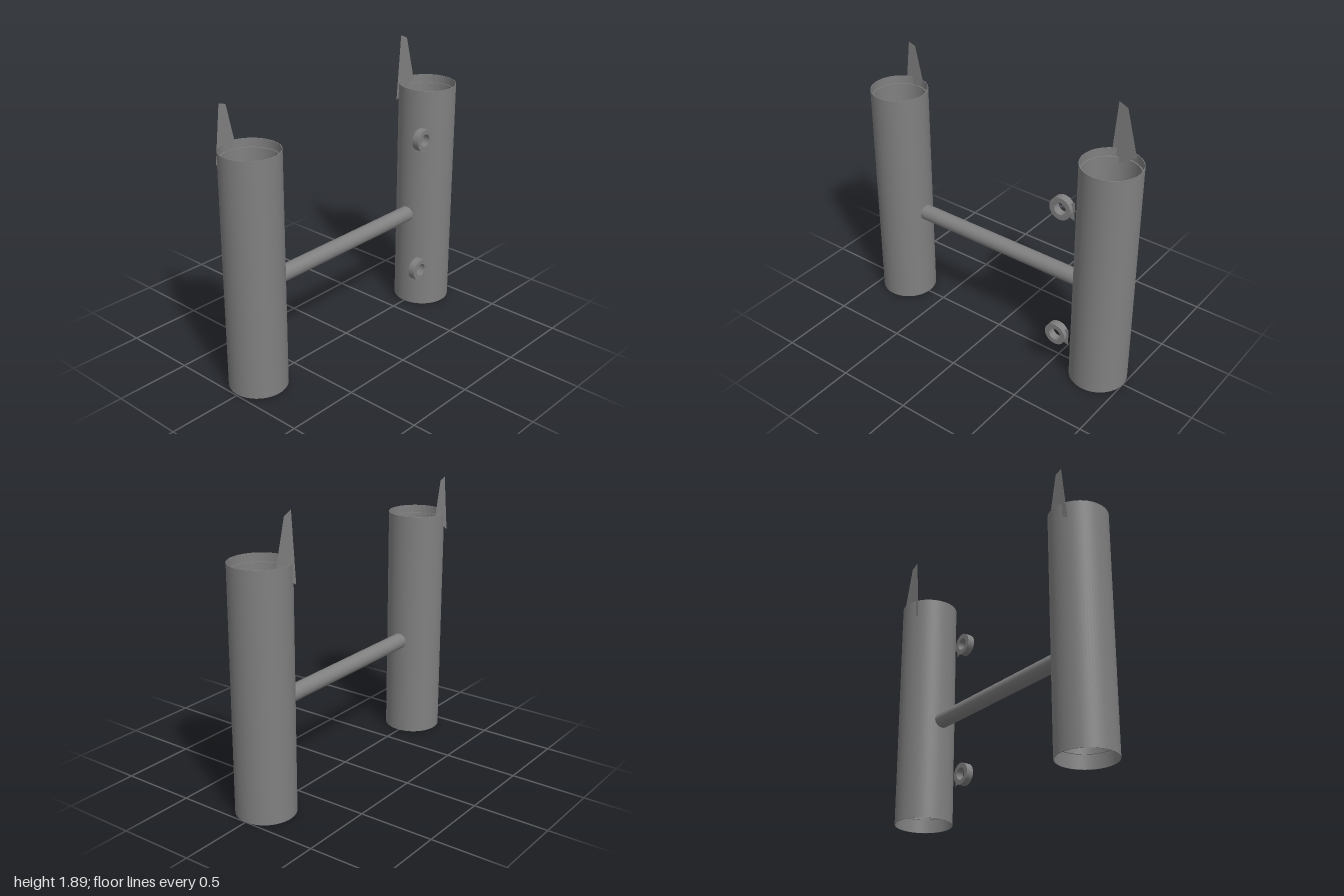
import * as THREE from 'three';

export function createModel() {
  const model = new THREE.Group();
  const steel = new THREE.MeshStandardMaterial({ color: 0x808080, side: THREE.DoubleSide });
  steel.name = 'grey steel';

  const add = (name, geometry, x = 0, y = 0, z = 0) => {
    const mesh = new THREE.Mesh(geometry, steel);
    mesh.name = name;
    mesh.position.set(x, y, z);
    model.add(mesh);
    return mesh;
  };
  const shapeOf = (points) => new THREE.Shape(points.map(([x, y]) => new THREE.Vector2(x, y)));

  // Open tube: straight outer wall, thin lips and a recessed liner inside
  const tube = (name, x, bottom, top, r) => {
    const lip = r - 0.004, bore = r - 0.011;
    const walls = [
      [r, bottom, r, top],
      [r, top, lip, top],
      [lip, top, lip, top - 0.055],
      [lip, top - 0.055, bore, top - 0.055],
      [bore, top - 0.055, bore, bottom + 0.09],
      [bore, bottom + 0.09, lip, bottom + 0.09],
      [lip, bottom + 0.09, lip, bottom],
      [lip, bottom, r, bottom],
    ];
    // Separate wall segments keep the rims crisp
    for (const [r0, y0, r1, y1] of walls) {
      add(name, new THREE.LatheGeometry([new THREE.Vector2(r0, y0), new THREE.Vector2(r1, y1)], 64), x);
    }
  };
  tube('leftTube', 0.809, 0, 1.585, 0.191);
  tube('rightTube', -0.8125, 0.01, 1.572, 0.1875);

  // Crossbar joining the tubes
  const bar = add('crossbar', new THREE.CylinderGeometry(0.053, 0.053, 1.26, 32), 0, 0.685, 0);
  bar.rotation.z = Math.PI / 2;

  // Tapered sheet fins set in the back walls
  add('leftFin', new THREE.ShapeGeometry(shapeOf([
    [0.695, 1.45], [0.873, 1.565], [0.792, 1.865], [0.73, 1.893],
  ])), 0, 0, -0.172);
  add('rightFin', new THREE.ShapeGeometry(shapeOf([
    [-0.916, 1.45], [-0.763, 1.555], [-0.82, 1.803], [-0.872, 1.82],
  ])), 0, 0, -0.179);

  // Eyelets with their mounting tabs
  const ring = new THREE.Shape().absarc(0, 0, 0.075, 0, Math.PI * 2);
  ring.holes.push(new THREE.Path().absarc(0, 0, 0.042, 0, Math.PI * 2, true));
  const tab = shapeOf([[0.05, -0.05], [0.088, -0.063], [0.088, 0.063], [0.05, 0.045]]);
  for (const [x, y] of [[0.58, 1.278], [0.576, 0.323]]) {
    add('eyelet', new THREE.ExtrudeGeometry(ring, { depth: 0.05, bevelEnabled: false, curveSegments: 24 }), x, y, 0.126);
    add('eyeletTab', new THREE.ShapeGeometry(tab), x, y, 0.15);
  }
  return model;
}
